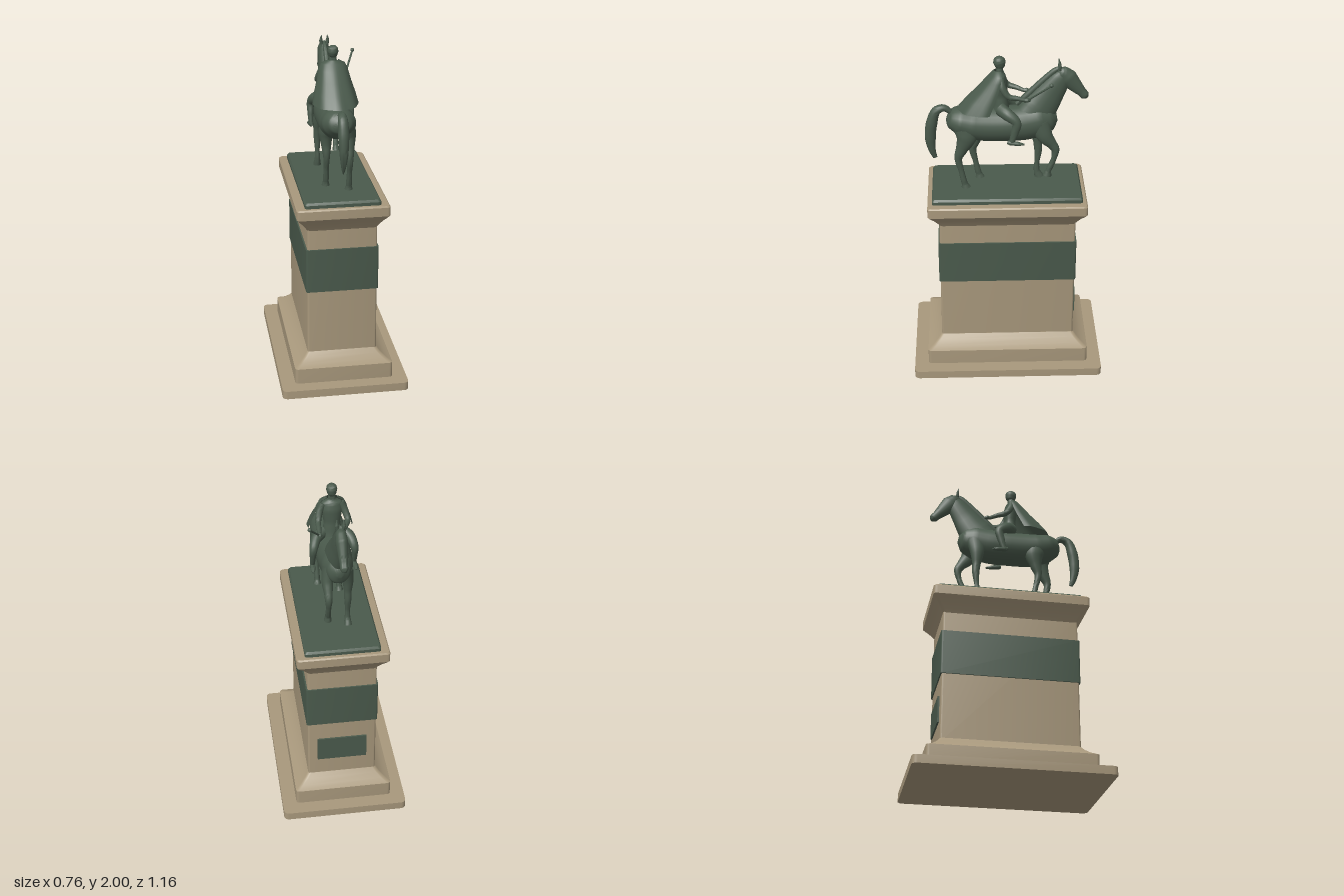
import * as THREE from 'three';
import { toCreasedNormals } from 'three/addons/utils/BufferGeometryUtils.js';

// Skin a closed surface over rings of points (counter-clockwise seen from the end)
function skin(rings, crease) {
  const n = rings[0].length, pos = [], idx = [];
  rings.forEach(r => r.forEach(p => pos.push(p.x, p.y, p.z)));
  for (let i = 0; i < rings.length - 1; i++) {
    for (let j = 0; j < n; j++) {
      const a = i * n + j, b = i * n + (j + 1) % n;
      idx.push(a, b, b + n, a, b + n, a + n);
    }
  }
  [0, rings.length - 1].forEach((r, end) => {
    const c = rings[r].reduce((s, p) => s.add(p), new THREE.Vector3()).divideScalar(n);
    const ci = pos.push(c.x, c.y, c.z) / 3 - 1;
    for (let j = 0; j < n; j++) {
      const a = r * n + j, b = r * n + (j + 1) % n;
      if (end) idx.push(ci, a, b); else idx.push(ci, b, a);
    }
  });
  const g = new THREE.BufferGeometry();
  g.setAttribute('position', new THREE.Float32BufferAttribute(pos, 3));
  g.setIndex(idx);
  return toCreasedNormals(g, crease);
}

// Rounded rectangular block from a profile of [halfX, halfZ, y]
function block(profile, r = 0.02) {
  return skin(profile.map(([hx, hz, y]) => {
    const ring = [];
    for (let k = 0; k < 4; k++) {
      const m = (k + 0.5) * Math.PI / 2;
      for (let s = 0; s <= 4; s++) {
        const a = (k + s / 4) * Math.PI / 2;
        ring.push(new THREE.Vector3(
          Math.sign(Math.cos(m)) * (hx - r) + r * Math.cos(a), y,
          -Math.sign(Math.sin(m)) * (hz - r) - r * Math.sin(a)));
      }
    }
    return ring;
  }), 0.5);
}

// Smooth organic form through [x, y, z, halfWidth, halfDepth] stations
function form(stations, sides = 16) {
  const path = new THREE.CatmullRomCurve3(stations.map(s => new THREE.Vector3(s[0], s[1], s[2])));
  const steps = (stations.length - 1) * 5, rings = [];
  for (let i = 0; i <= steps; i++) {
    const t = i / steps, c = path.getPoint(t), T = path.getTangent(t);
    const S = new THREE.Vector3(1, 0, 0).addScaledVector(T, -T.x).normalize();
    const N = T.clone().cross(S);
    const f = t * (stations.length - 1), k = Math.min(Math.floor(f), stations.length - 2);
    const e = f - k, mix = q => THREE.MathUtils.lerp(stations[k][q], stations[k + 1][q], e);
    const w = mix(3), h = mix(4), ring = [];
    for (let j = 0; j < sides; j++) {
      const a = j / sides * Math.PI * 2;
      ring.push(c.clone().addScaledVector(S, w * Math.cos(a)).addScaledVector(N, h * Math.sin(a)));
    }
    rings.push(ring);
  }
  return skin(rings, 1.0);
}

// Cloak draped from the neck over the rump, open at the front
function cloakGeometry() {
  // [y, halfWidth, centreZ, depth]
  const rows = [[1.915, 0.03, 0.04, 0.03], [1.895, 0.07, 0.04, 0.05], [1.86, 0.085, 0.05, 0.072],
    [1.80, 0.1, 0.075, 0.1], [1.74, 0.118, 0.105, 0.13], [1.68, 0.132, 0.135, 0.15]];
  const n = 24, pos = [], idx = [];
  rows.forEach(([y, w, zc, d], i) => {
    for (let j = 0; j <= n; j++) {
      const a = (j / n - 0.5) * Math.PI * 1.15;
      const fold = 1 + 0.025 * (i / 5) * Math.cos(a * 8);
      pos.push(w * Math.sin(a) * fold, y, zc + d * Math.cos(a) * fold);
      if (i && j) {
        const c = i * (n + 1) + j, b = c - n - 1;
        idx.push(b - 1, c - 1, c, b - 1, c, b);
      }
    }
  });
  const g = new THREE.BufferGeometry();
  g.setAttribute('position', new THREE.Float32BufferAttribute(pos, 3));
  g.setIndex(idx);
  g.computeVertexNormals();
  return g;
}

export function createModel() {
  const stone = new THREE.MeshStandardMaterial({ color: 0xa8987c });
  stone.name = 'stone';
  const bronze = new THREE.MeshStandardMaterial({ color: 0x4a5a4c, side: THREE.DoubleSide });
  bronze.name = 'bronze';
  const model = new THREE.Group();
  const pedestal = new THREE.Group(), horse = new THREE.Group(), rider = new THREE.Group();
  pedestal.name = 'pedestal'; horse.name = 'horse'; rider.name = 'rider';
  model.add(pedestal, horse, rider);
  const add = (group, name, geometry, material = bronze) => {
    const m = new THREE.Mesh(geometry, material);
    m.name = name;
    group.add(m);
    return m;
  };

  // Pedestal: every stage grows evenly outwards from the shaft
  const stage = list => list.map(([o, y]) => [0.21 + o, 0.41 + o, y]);
  add(pedestal, 'baseSlab', block(stage([[0.17, 0], [0.17, 0.05]]), 0.03), stone);
  add(pedestal, 'plinth', block(stage([[0.085, 0.05], [0.085, 0.145], [0.075, 0.15],
    [0.05, 0.165], [0.02, 0.19], [0, 0.215]])), stone);
  add(pedestal, 'shaft', block(stage([[-0.001, 0.2], [-0.004, 1.01]]), 0.012), stone);
  add(pedestal, 'cornice', block(stage([[-0.004, 1.0], [0.008, 1.02], [0.03, 1.052], [0.052, 1.078],
    [0.062, 1.092], [0.062, 1.145], [0.055, 1.153]])), stone);
  add(pedestal, 'reliefBand', block(stage([[0.005, 0.61], [0.005, 0.88]]), 0.012));
  add(pedestal, 'topPlate', block([[0.222, 0.445, 1.15], [0.222, 0.445, 1.172], [0.213, 0.436, 1.185]], 0.015));
  const plaque = add(pedestal, 'plaque', new THREE.BoxGeometry(0.3, 0.16, 0.01));
  plaque.position.set(0, 0.41, -0.414);

  // Horse, facing -z
  add(horse, 'body', form([
    [0, 1.62, 0.348, 0.02, 0.02], [0, 1.615, 0.33, 0.066, 0.055], [0, 1.605, 0.28, 0.098, 0.084],
    [0, 1.585, 0.2, 0.106, 0.099], [0, 1.578, 0.13, 0.105, 0.104], [0, 1.577, 0, 0.105, 0.105],
    [0, 1.582, -0.1, 0.1, 0.108], [0, 1.6, -0.2, 0.09, 0.105],
    [0, 1.61, -0.265, 0.062, 0.075], [0, 1.615, -0.295, 0.02, 0.025]], 24));
  add(horse, 'neck', form([
    [0, 1.61, -0.13, 0.075, 0.1], [0, 1.67, -0.187, 0.064, 0.108], [0, 1.77, -0.255, 0.045, 0.083],
    [0, 1.86, -0.315, 0.034, 0.058], [0, 1.9, -0.335, 0.025, 0.035]]));
  add(horse, 'head', form([
    [0, 1.915, -0.3, 0.014, 0.014], [0, 1.898, -0.32, 0.03, 0.04], [0, 1.862, -0.352, 0.036, 0.056],
    [0, 1.815, -0.395, 0.029, 0.042], [0, 1.772, -0.435, 0.023, 0.028],
    [0, 1.75, -0.455, 0.023, 0.027], [0, 1.737, -0.467, 0.012, 0.014]]));
  add(horse, 'mane', form([
    [0, 1.7, -0.06, 0.012, 0.014], [0, 1.75, -0.115, 0.016, 0.02], [0, 1.835, -0.2, 0.015, 0.02],
    [0, 1.905, -0.275, 0.013, 0.018], [0, 1.93, -0.315, 0.008, 0.01]], 10));
  add(horse, 'tail', form([
    [0, 1.655, 0.325, 0.016, 0.016], [0, 1.68, 0.365, 0.023, 0.02], [0, 1.66, 0.41, 0.029, 0.027],
    [0, 1.58, 0.438, 0.032, 0.034], [0, 1.48, 0.448, 0.026, 0.032],
    [0, 1.4, 0.438, 0.015, 0.02], [0, 1.355, 0.422, 0.005, 0.013]]));
  for (const s of [-1, 1]) {
    add(horse, 'ear', form([[s * 0.016, 1.915, -0.306, 0.01, 0.009], [s * 0.02, 1.94, -0.306, 0.011, 0.009],
      [s * 0.018, 1.973, -0.301, 0.002, 0.002]], 8));
    // Hind leg: the left one stands further back
    const dz = s > 0 ? 0.085 : 0, x = s * 0.062;
    add(horse, 'hindLeg', form([
      [s * 0.052, 1.6, 0.19 + dz * 0.6, 0.045, 0.075], [x, 1.52, 0.175 + dz * 0.7, 0.043, 0.062],
      [x, 1.445, 0.185 + dz * 0.9, 0.03, 0.037], [x, 1.38, 0.2 + dz, 0.02, 0.023],
      [x, 1.3, 0.185 + dz, 0.015, 0.016], [x, 1.23, 0.17 + dz, 0.018, 0.018],
      [x, 1.21, 0.165 + dz, 0.017, 0.018], [x, 1.183, 0.158 + dz, 0.024, 0.028]]));
  }
  add(horse, 'standingForeleg', form([
    [-0.05, 1.59, -0.19, 0.04, 0.065], [-0.062, 1.5, -0.185, 0.034, 0.044],
    [-0.062, 1.42, -0.188, 0.023, 0.026], [-0.062, 1.36, -0.192, 0.021, 0.023],
    [-0.062, 1.28, -0.185, 0.014, 0.015], [-0.062, 1.225, -0.185, 0.017, 0.018],
    [-0.062, 1.183, -0.2, 0.024, 0.029]]));
  add(horse, 'raisedForeleg', form([
    [0.05, 1.6, -0.19, 0.04, 0.065], [0.062, 1.52, -0.222, 0.034, 0.048],
    [0.062, 1.465, -0.265, 0.025, 0.03], [0.062, 1.43, -0.285, 0.022, 0.025],
    [0.062, 1.37, -0.278, 0.015, 0.016], [0.062, 1.31, -0.255, 0.017, 0.018],
    [0.062, 1.29, -0.247, 0.016, 0.017], [0.062, 1.258, -0.24, 0.023, 0.026]]));

  // Rider
  add(rider, 'torso', form([
    [0, 1.64, 0.03, 0.07, 0.055], [0, 1.7, 0.03, 0.055, 0.043], [0, 1.76, 0.032, 0.048, 0.037],
    [0, 1.84, 0.036, 0.062, 0.042], [0, 1.885, 0.04, 0.06, 0.034], [0, 1.905, 0.04, 0.024, 0.02],
    [0, 1.94, 0.04, 0.018, 0.019]]));
  add(rider, 'head', form([
    [0, 1.925, 0.034, 0.012, 0.014], [0, 1.938, 0.036, 0.024, 0.028], [0, 1.965, 0.04, 0.032, 0.036],
    [0, 1.985, 0.041, 0.028, 0.031], [0, 1.997, 0.041, 0.015, 0.017], [0, 2, 0.041, 0.003, 0.003]]));
  add(rider, 'cloak', cloakGeometry());
  for (const s of [-1, 1]) {
    add(rider, 'leg', form([
      [s * 0.05, 1.69, 0.035, 0.035, 0.04], [s * 0.095, 1.675, -0.005, 0.032, 0.036],
      [s * 0.118, 1.635, -0.055, 0.024, 0.027], [s * 0.122, 1.575, -0.045, 0.018, 0.024],
      [s * 0.122, 1.505, -0.025, 0.013, 0.015]]));
    add(rider, 'boot', form([
      [s * 0.122, 1.512, -0.002, 0.008, 0.01], [s * 0.122, 1.508, -0.02, 0.015, 0.016],
      [s * 0.125, 1.502, -0.07, 0.015, 0.011], [s * 0.126, 1.498, -0.1, 0.006, 0.005]], 10));
    // Arm: left hand out with the baton, right hand on the neck
    const hx = s > 0 ? 0.09 : -0.045;
    add(rider, 'arm', form([
      [s * 0.052, 1.88, 0.035, 0.02, 0.022], [s * 0.072, 1.835, 0.025, 0.021, 0.022],
      [s * 0.085, 1.785, -0.01, 0.017, 0.018], [(s * 0.085 + hx) / 2, 1.775, -0.06, 0.014, 0.014],
      [hx, 1.765, -0.105, 0.011, 0.011], [hx, 1.765, -0.12, 0.014, 0.014],
      [hx, 1.763, -0.138, 0.006, 0.006]], 12));
  }
  add(rider, 'baton', form([[0.085, 1.75, -0.1, 0.006, 0.006], [0.162, 1.885, -0.248, 0.006, 0.006]], 8));
  add(rider, 'batonKnob', new THREE.SphereGeometry(0.012, 12, 8)).position.set(0.162, 1.888, -0.249);
  return model;
}
